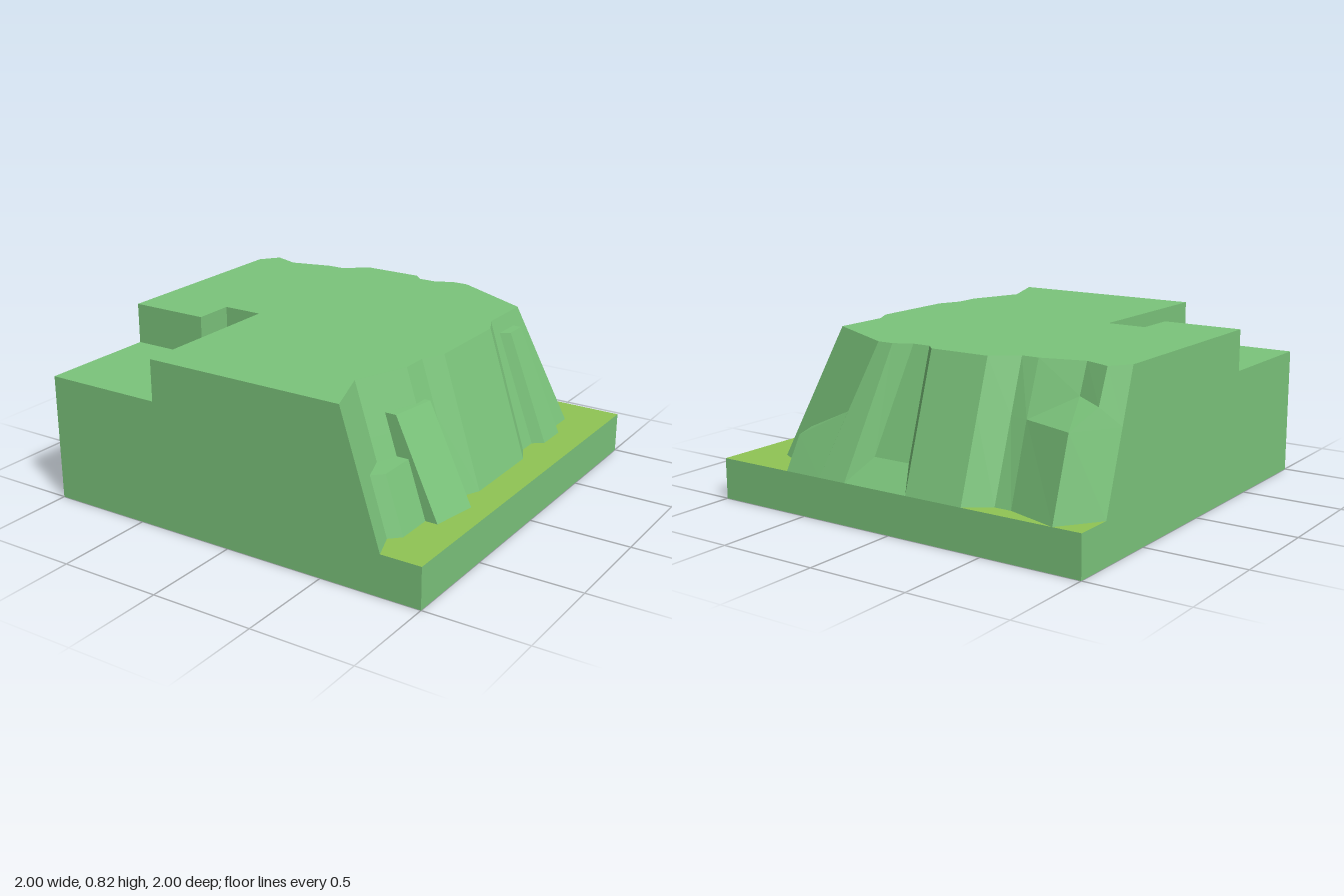
import * as THREE from 'three';

const TOP = 0.82, GROUND = 0.2, LEDGE = 0.62;

const earth = new THREE.MeshStandardMaterial({ color: 0x7bc47b, flatShading: true, side: THREE.DoubleSide });
const grass = new THREE.MeshStandardMaterial({ color: 0x8fc454, flatShading: true, side: THREE.DoubleSide });

function part(name, geometry, material = earth) {
  const mesh = new THREE.Mesh(geometry, material);
  mesh.name = name;
  return mesh;
}

const polygon = pts => new THREE.ShapeGeometry(new THREE.Shape(pts.map(([a, b]) => new THREE.Vector2(a, b))));

// Horizontal polygon from [x, z] corners
const level = (pts, y) => polygon(pts.map(([x, z]) => [x, -z])).rotateX(-Math.PI / 2).translate(0, y, 0);

// Joins neighbouring columns (each listed top to bottom, running left to right seen
// from outside) and closes an optional cap; faces without area are dropped
function strip(columns, cap = []) {
  const pos = [];
  const tri = (a, b, c) => {
    const t = new THREE.Triangle(...[a, b, c].map(p => new THREE.Vector3(...p)));
    if (t.getArea() > 1e-6) pos.push(...a, ...b, ...c);
  };
  for (let i = 0; i < columns.length - 1; i++) {
    const l = columns[i], r = columns[i + 1];
    for (let j = 0; j < l.length - 1; j++) {
      tri(l[j], l[j + 1], r[j + 1]);
      tri(l[j], r[j + 1], r[j]);
    }
  }
  for (let i = 1; i < cap.length - 1; i++) tri(cap[0], cap[i], cap[i + 1]);
  const g = new THREE.BufferGeometry();
  g.setAttribute('position', new THREE.Float32BufferAttribute(pos, 3));
  g.computeVertexNormals();
  return g;
}

// Cliff columns: top [x, z], foot [x, z], optional bends [x, y, z]
const cliff = [
  [[0.6, 1], [0.8, 1]],
  [[0.5, 0.73], [0.7, 0.73]],
  [[0.6, 0.47], [0.8, 0.47]],
  [[0.6, 0.34], [0.8, 0.34]],
  [[0.65, 0.23], [0.85, 0.23]],
  [[0.65, -0.21], [0.85, -0.21]],
  [[0.6, -0.31], [0.8, -0.31]],
  [[0.6, -0.59], [0.8, -0.79]],
  [[0.2, -0.8], [0.4, -1]],
  // gully with a shallow foot
  [[0.12, -0.8], [0.25, -1]],
  [[0.035, -0.757], [0.25, -1], [0.14, 0.32, -0.915]],
  [[-0.055, -0.757], [-0.1, -1], [-0.055, 0.32, -0.915]],
  [[-0.1, -0.8], [-0.1, -1]],
  [[-0.4, -0.8], [-0.4, -1]],
  [[-0.515, -0.71], [-0.515, -0.915]],
  // corner with a sloping shelf
  [[-0.6, -0.71], [-0.6, -0.915], [-0.6, 0.57, -0.8]],
  [[-0.805, -0.655], [-0.86, -1], [-0.805, 0.68, -0.71], [-0.865, 0.57, -0.89]],
  [[-0.93, -0.7], [-0.86, -1], [-0.93, 0.66, -0.765], [-0.865, 0.57, -0.89]],
  [[-1, -0.61], [-1, -0.81]],
];
const tops = cliff.map(c => c[0]);
const feet = cliff.map(c => c[1]);

function cliffColumn([t, f, bend, bend2]) {
  const a = [t[0], TOP, t[1]], b = [f[0], GROUND, f[1]];
  const mid = bend ?? a.map((v, k) => v + (b[k] - v) * 0.4);
  return [a, mid, bend2 ?? mid, b];
}

// Boulder with a level top: [topX, topZ, footX, footZ] columns, extra cap corners
function boulder(y, cols, extra = []) {
  const columns = cols.map(([x, z, fx, fz]) => [[x, y, z], [fx, GROUND, fz]]);
  return strip(columns, [...columns.map(c => c[0]), ...extra.map(([x, z]) => [x, y, z])]);
}

export function createModel() {
  const model = new THREE.Group();
  model.name = 'cliffTile';

  // Plateau and the stepped cut at its front corner
  const cut = [[-1, 0.4], [-0.6, 0.4], [-0.6, 0.2], [-0.4, 0.2], [-0.4, 1]];
  model.add(
    part('plateauTop', level([...tops, ...cut], TOP)),
    part('stepFloor', level([...cut, [-1, 1]], LEDGE)),
    part('stepWalls', strip(cut.map(([x, z]) => [[x, TOP, z], [x, LEDGE, z]]))),
    part('cliffFace', strip(cliff.map(cliffColumn))),
  );

  // Outer walls; the underside stays open
  model.add(
    part('frontWall', polygon([[-1, 0], [1, 0], [1, GROUND], [0.8, GROUND], [0.6, TOP],
      [-0.4, TOP], [-0.4, LEDGE], [-1, LEDGE]]).translate(0, 0, 1)),
    part('sideWall', polygon([[-1, 0], [1, 0], [1, LEDGE], [0.4, LEDGE], [0.4, TOP],
      [-0.61, TOP], [-0.81, GROUND], [-1, GROUND]]).rotateY(-Math.PI / 2).translate(-1, 0, 0)),
    part('lowWalls', strip([[1, 1], [1, -1], [-1, -1]].map(([x, z]) => [[x, GROUND, z], [x, 0, z]]))),
  );

  // Grass around the foot of the cliff
  model.add(
    part('sideGrass', level([[1, 1], ...feet.slice(0, 9), [1, -1]], GROUND), grass),
    part('backGrass', level(feet.slice(13, 17), GROUND), grass),
    part('cornerGrass', level([[-1, -1], [-0.86, -1], [-1, -0.81]], GROUND), grass),
  );

  // Boulders leaning on the cliff
  model.add(
    part('smallBoulder', boulder(0.47,
      [[0.66, 0.865, 0.75, 0.865], [0.71, 0.815, 0.8, 0.815], [0.71, 0.63, 0.8, 0.63]],
      [[0.64, 0.63], [0.61, 0.73]])),
    part('wideBoulder', boulder(0.66,
      [[0.59, 0.63, 0.73, 0.63], [0.645, 0.63, 0.86, 0.63], [0.68, 0.4, 0.9, 0.4], [0.65, 0.4, 0.8, 0.4]],
      [[0.65, 0.47]])),
    part('tallBoulder', boulder(0.75,
      [[0.62, -0.36, 0.8, -0.405], [0.665, -0.395, 0.85, -0.445],
        [0.665, -0.505, 0.85, -0.605], [0.62, -0.505, 0.8, -0.58]])),
  );

  // Wedge at the back corner
  const wedge = [
    [[0.62, 0.37, -0.805], [0.65, GROUND, -0.865]],
    [[0.56, 0.37, -0.95], [0.6, GROUND, -1]],
    [[0.3, 0.505, -0.905], [0.4, GROUND, -1]],
  ];
  model.add(part('cornerWedge', strip(wedge, wedge.map(c => c[0]))));

  return model;
}
